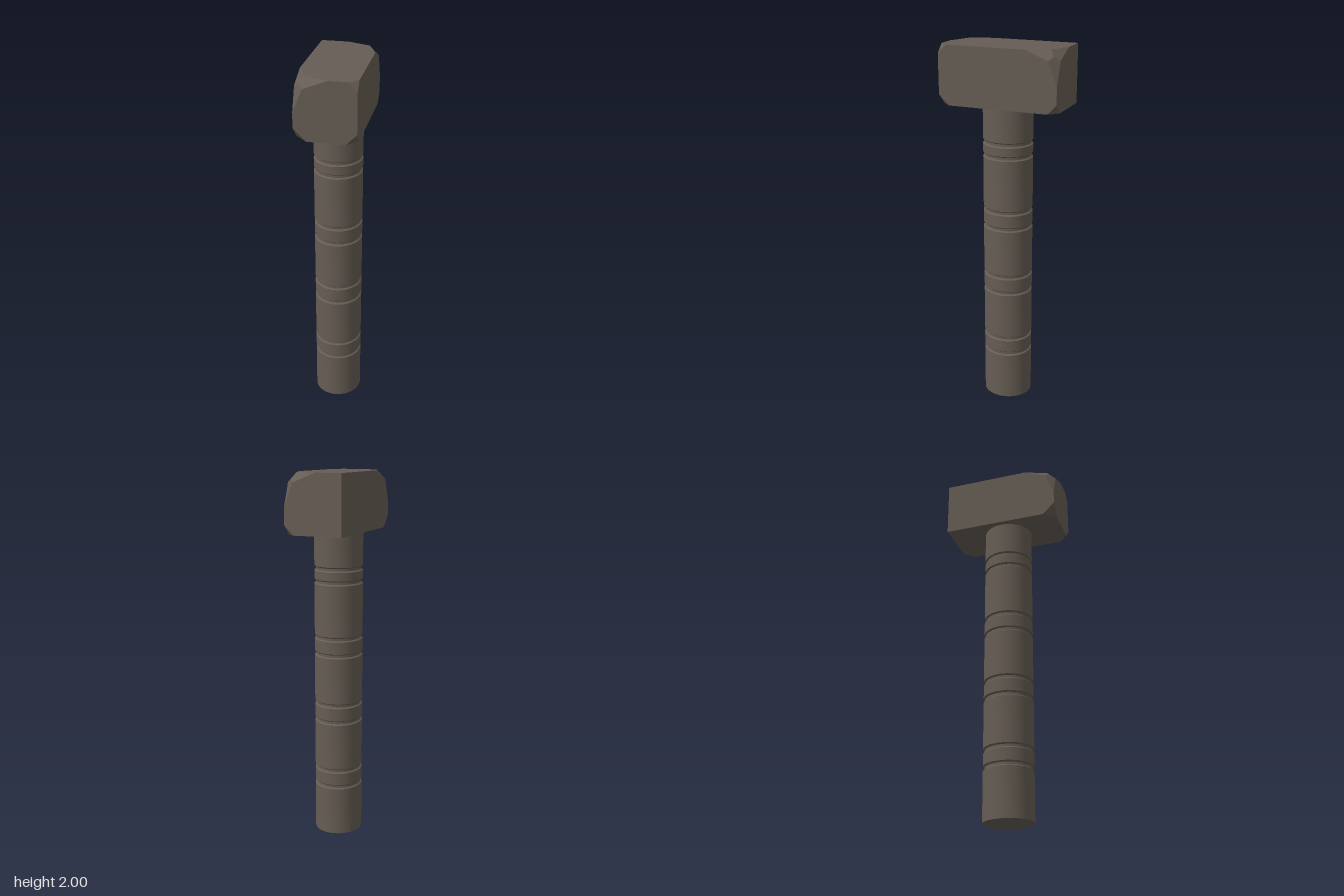
import * as THREE from 'three';
import { toCreasedNormals } from 'three/addons/utils/BufferGeometryUtils.js';
import { ConvexGeometry } from 'three/addons/geometries/ConvexGeometry.js';

const stone = new THREE.MeshStandardMaterial({ color: 0x665d54 });
stone.name = 'greyBrownStone';

// Round shaft with pairs of shallow grooves
function createHandle() {
  const r = 0.132, depth = 0.008, half = 0.013;
  const grooves = [0.28, 0.373, 0.655, 0.75, 1.03, 1.122, 1.425, 1.496];
  const profile = [[0, 0], [r, 0]];
  for (const y of grooves) {
    profile.push([r, y - half], [r - depth, y - half * 0.5], [r - depth, y + half * 0.5], [r, y + half]);
  }
  profile.push([r, 1.7], [0, 1.7]);
  const lathe = new THREE.LatheGeometry(profile.map(([x, y]) => new THREE.Vector2(x, y)), 48);
  const handle = new THREE.Mesh(toCreasedNormals(lathe, 0.45), stone);
  handle.name = 'handle';
  handle.scale.set(0.98, 1, 1.02);
  return handle;
}

// Inward offsets from a box corner: sharp, single chip, or a three-facet worn chip
const permute = (a, b) => [[a, b, b], [b, a, b], [b, b, a]];
const sharp = [[0, 0, 0]];
const chip = (s) => permute(s, 0);
const worn = [...permute(0.17, 0), ...permute(0, 0.049), [0.029, 0.029, 0.029]];

// Block head with chipped corners
function createHead() {
  const w = 0.157, h = 0.155, l = 0.322;
  const corners = [
    [-1, 1, 1, worn], [1, 1, -1, worn],
    [1, 1, 1, chip(0.045)], [-1, 1, -1, sharp],
    [-1, -1, 1, chip(0.065)], [1, -1, -1, chip(0.048)],
    [1, -1, 1, chip(0.055)], [-1, -1, -1, sharp],
  ];
  const points = corners.flatMap(([sx, sy, sz, cut]) =>
    cut.map(([dx, dy, dz]) => new THREE.Vector3(sx * (w - dx), sy * (h - dy), sz * (l - dz))));
  const head = new THREE.Mesh(new ConvexGeometry(points), stone);
  head.name = 'head';
  head.position.y = 2 - h;
  head.rotation.y = 0.14;
  return head;
}

export function createModel() {
  const model = new THREE.Group();
  model.name = 'hammer';
  model.add(createHandle(), createHead());
  return model;
}
